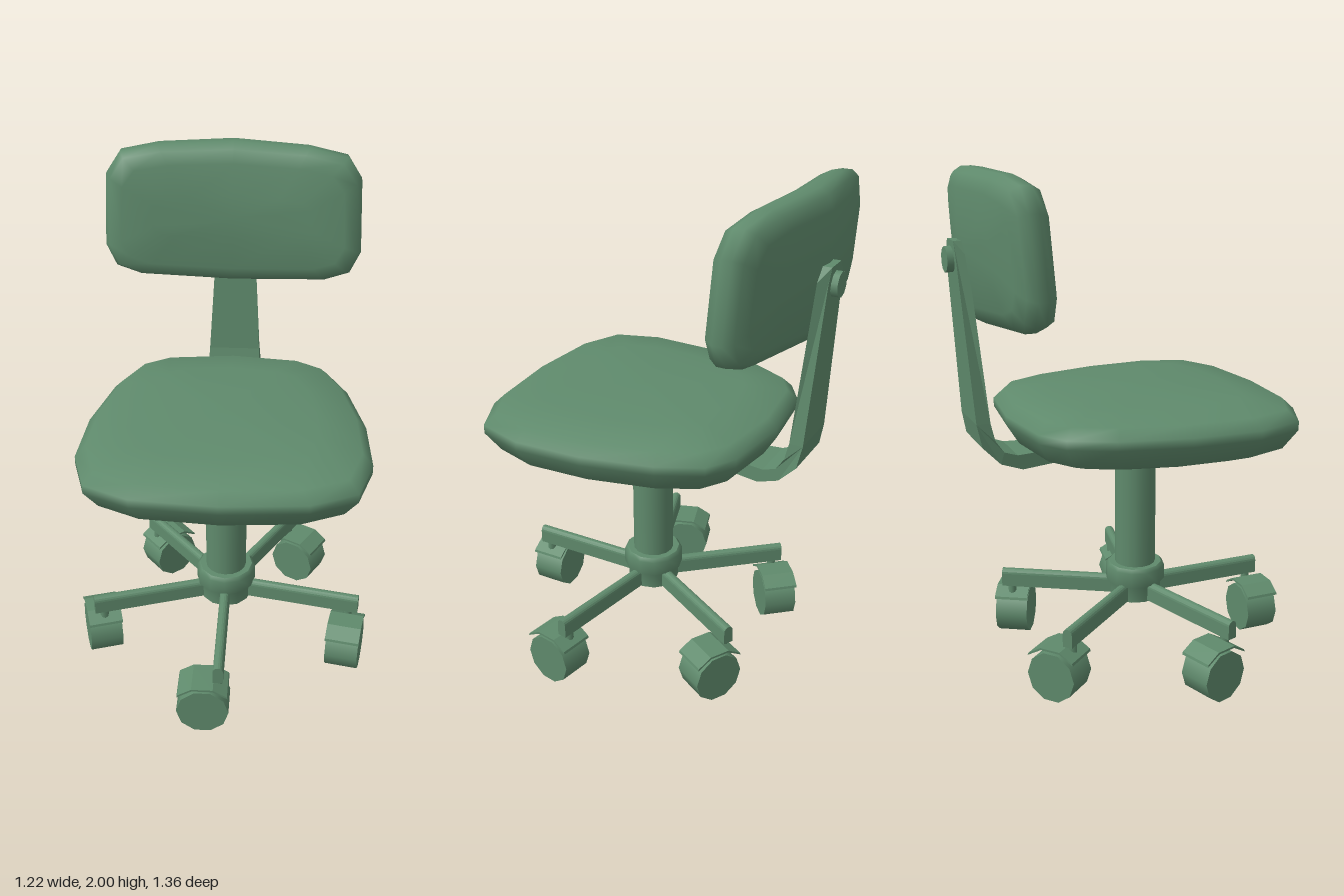
import * as THREE from 'three';

const CX = 0.01, CZ = 0.08; // axis of the pedestal
const material = new THREE.MeshStandardMaterial({ color: 0x5f8a6c });

function add(parent, name, geometry, x = 0, y = 0, z = 0) {
  const mesh = new THREE.Mesh(geometry, material);
  mesh.name = name;
  mesh.position.set(x, y, z);
  parent.add(mesh);
  return mesh;
}

// Closed smooth pad: an outline inset ring by ring, then placed by a rule.
// outline runs counter-clockwise; rings are [inset, depth] along the pad's axis.
function cushion(outline, halfX, halfY, rings, place) {
  const positions = [], index = [], n = outline.length;
  for (const [inset, depth] of rings) {
    for (const [x, y] of outline) {
      positions.push(...place(x * (1 - inset / halfX), y * (1 - inset / halfY), depth));
    }
  }
  for (let r = 0; r < rings.length - 1; r++) {
    for (let i = 0; i < n; i++) {
      const a = r * n + i, b = r * n + (i + 1) % n;
      index.push(a, b, b + n, a, b + n, a + n);
    }
  }
  const start = positions.length / 3, last = (rings.length - 1) * n;
  positions.push(...place(0, 0, rings[0][1] - 0.003));
  positions.push(...place(0, 0, rings[rings.length - 1][1] + 0.012));
  for (let i = 0; i < n; i++) {
    const j = (i + 1) % n;
    index.push(start, j, i, start + 1, last + i, last + j);
  }
  const g = new THREE.BufferGeometry();
  g.setAttribute('position', new THREE.Float32BufferAttribute(positions, 3));
  g.setIndex(index);
  g.computeVertexNormals();
  return g;
}

// Half outline from front/bottom middle to back/top middle, mirrored to a full loop
function mirrored(half) {
  const other = half.slice(1, -1).reverse().map(([x, y]) => [-x, y]);
  return [...half, ...other];
}

function seatGeometry() {
  const half = [[0, -0.555], [0.32, -0.53], [0.495, -0.45], [0.555, -0.26], [0.543, 0.01],
    [0.48, 0.285], [0.4, 0.45], [0.29, 0.52], [0, 0.555]];
  const rings = [[0.14, 0.91], [0.05, 0.945], [0, 1.025], [0, 1.06], [0.04, 1.1], [0.2, 1.127]];
  return cushion(mirrored(half), 0.555, 0.555, rings, (x, y, d) => [x + 0.013, d, 0.092 - y]);
}

function backrestGeometry() {
  const half = [[0, -0.285], [0.38, -0.258], [0.48, -0.22], [0.522, -0.13], [0.51, 0.16],
    [0.452, 0.247], [0.3, 0.275], [0, 0.285]];
  const rings = [[0.2, -0.097], [0.07, -0.085], [0.02, -0.062], [0, -0.025], [0, 0.02],
    [0.02, 0.062], [0.07, 0.085], [0.2, 0.092]];
  // swept forward at the sides, leaning back, turned slightly
  return cushion(mirrored(half), 0.522, 0.285, rings, (x, y, d) =>
    [x + 0.005, y + 1.715, -0.527 + d * (1 - 0.3 * Math.abs(x)) + 0.11 * Math.abs(x) - 0.07 * y + 0.03 * x]);
}

// Bent strip: side profile extruded across, then tapered in width
function armGeometry() {
  const profile = [[-0.04, 0.885], [-0.43, 0.87], [-0.52, 0.905], [-0.592, 0.98], [-0.61, 1.07],
    [-0.654, 1.69], [-0.654, 1.745], [-0.615, 1.745], [-0.612, 1.69],
    [-0.556, 1.07], [-0.54, 1.0], [-0.505, 0.95], [-0.45, 0.93], [-0.04, 0.93]];
  const shape = new THREE.Shape(profile.map(([z, y]) => new THREE.Vector2(z, y)));
  const g = new THREE.ExtrudeGeometry(shape, { depth: 2, bevelEnabled: false });
  g.translate(0, 0, -1).rotateY(-Math.PI / 2);
  const p = g.attributes.position, lerp = THREE.MathUtils.mapLinear;
  for (let i = 0; i < p.count; i++) {
    const y = p.getY(i), z = p.getZ(i);
    let w = y > 0.99 ? lerp(y, 1, 1.69, 0.112, 0.072) : lerp(z, -0.04, -0.55, 0.045, 0.112);
    if (y > 1.72) w = 0.045;
    p.setX(i, p.getX(i) * w + CX);
  }
  g.computeVertexNormals();
  return g;
}

// Narrow bar with a rounded top, running along +z
function legGeometry() {
  const s = new THREE.Shape();
  s.moveTo(-0.02, 0.23);
  s.lineTo(0.02, 0.23);
  s.lineTo(0.02, 0.285);
  s.absarc(0, 0.285, 0.02, 0, Math.PI, false);
  s.closePath();
  return new THREE.ExtrudeGeometry(s, { depth: 0.53, bevelEnabled: false, curveSegments: 4 })
    .translate(0, 0, 0.04);
}

function makeCaster() {
  const caster = new THREE.Group();
  caster.name = 'caster';
  add(caster, 'casterStem', new THREE.CylinderGeometry(0.018, 0.018, 0.06, 8), 0, 0.21, 0.53);
  const wheel = new THREE.CylinderGeometry(0.103, 0.103, 0.135, 10)
    .rotateY(Math.PI / 10).rotateX(Math.PI / 2);
  add(caster, 'wheel', wheel, -0.06, 0.1, 0.53);
  // thin bent hood over the wheel
  const hood = [[-0.16, 0.175], [-0.1, 0.21], [-0.02, 0.21], [0.04, 0.175],
    [0.037, 0.185], [-0.018, 0.218], [-0.102, 0.218], [-0.157, 0.185]];
  const shape = new THREE.Shape(hood.map(([x, y]) => new THREE.Vector2(x, y)));
  add(caster, 'hood', new THREE.ExtrudeGeometry(shape, { depth: 0.14, bevelEnabled: false }), 0, 0, 0.46);
  return caster;
}

export function createModel() {
  const chair = new THREE.Group();
  chair.name = 'officeChair';

  add(chair, 'seat', seatGeometry());
  add(chair, 'backrest', backrestGeometry());
  add(chair, 'backArm', armGeometry());
  add(chair, 'adjusterKnob',
    new THREE.CylinderGeometry(0.048, 0.048, 0.06, 10).rotateX(Math.PI / 2), CX, 1.675, -0.648);

  // Pedestal
  add(chair, 'seatPlate', new THREE.CylinderGeometry(0.15, 0.15, 0.06, 10), CX, 0.89, CZ);
  add(chair, 'column', new THREE.CylinderGeometry(0.084, 0.084, 0.56, 16), CX, 0.6, CZ);
  const hubProfile = [[0, 0.225], [0.105, 0.225], [0.105, 0.225], [0.108, 0.29], [0.123, 0.3],
    [0.123, 0.36], [0.11, 0.375], [0.11, 0.375], [0, 0.375]];
  add(chair, 'hub', new THREE.LatheGeometry(hubProfile.map(([r, y]) => new THREE.Vector2(r, y)), 12), CX, 0, CZ);

  // Five legs with casters, slightly uneven in spacing
  for (const degrees of [0, 79, 150, 220, 288]) {
    const spoke = new THREE.Group();
    spoke.name = 'spoke';
    add(spoke, 'leg', legGeometry());
    spoke.add(makeCaster());
    spoke.position.set(CX, 0, CZ);
    spoke.rotation.y = THREE.MathUtils.degToRad(degrees);
    chair.add(spoke);
  }
  return chair;
}
